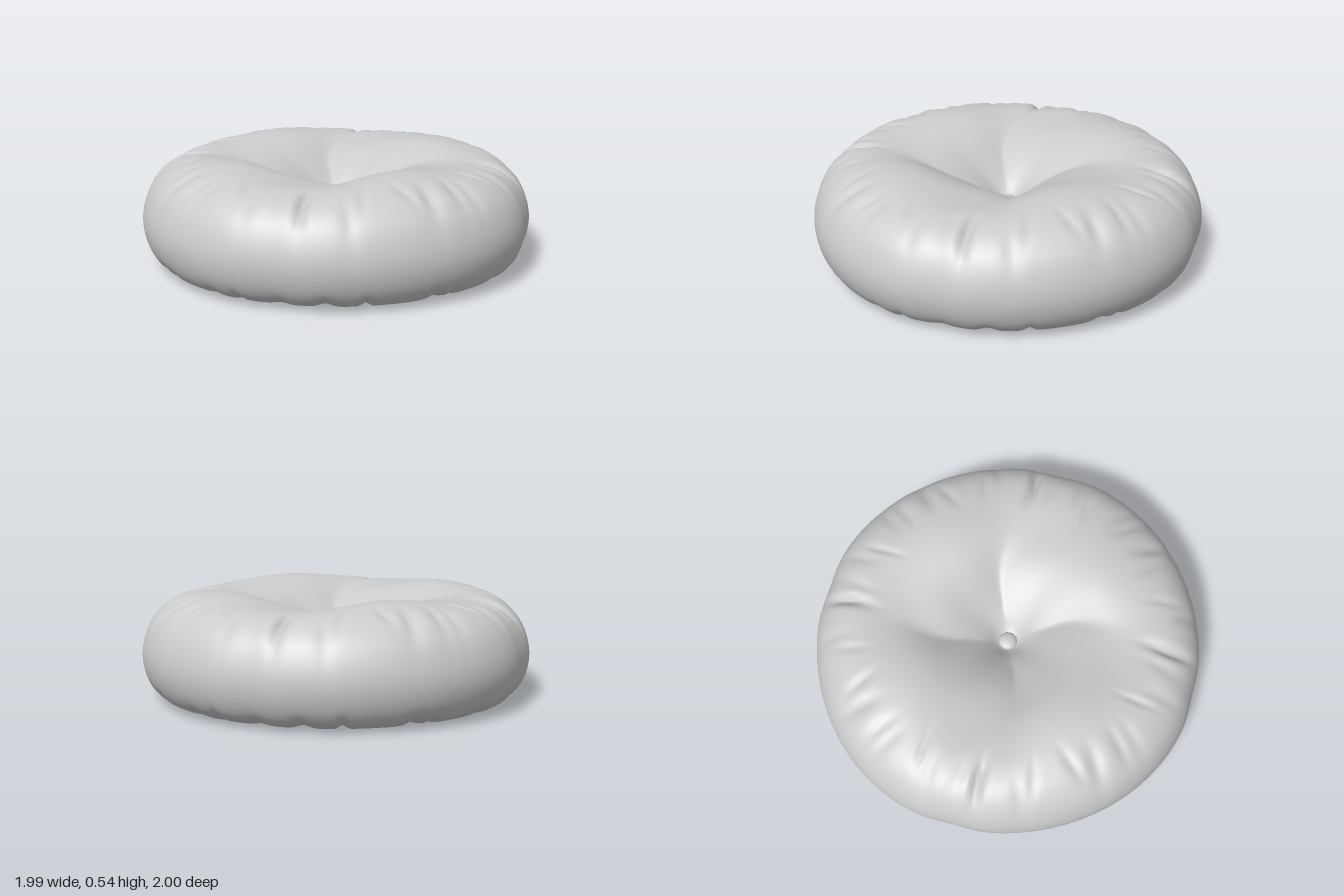
import * as THREE from 'three';
import { mergeVertices } from 'three/addons/utils/BufferGeometryUtils.js';

const QUARTER = Math.PI / 2;

// small seeded random
function seeded(seed) {
  return () => (seed = (seed * 16807) % 2147483647) / 2147483647;
}

// bell-shaped bump, 1 at the middle
const bell = (d, w) => Math.exp(-(d * d) / (w * w));

// angular distance in a pattern that repeats every quarter turn
function quarterGap(a, b) {
  const d = (a - b) / QUARTER;
  return (d - Math.round(d)) * QUARTER;
}

// cross-section from the open hem, over the rim, down to the tufted centre
const profile = [
  [0.77, 0.0], [0.86, 0.007], [0.93, 0.038], [0.977, 0.105], [1.0, 0.205], [0.986, 0.305],
  [0.935, 0.408], [0.852, 0.479], [0.745, 0.513], [0.61, 0.52], [0.47, 0.502], [0.34, 0.457],
  [0.22, 0.393], [0.12, 0.32], [0.06, 0.265], [0.03, 0.245],
];

// gathers spaced unevenly within a quarter turn
function makeFolds(count, seed, radius, spread) {
  const rnd = seeded(seed);
  return Array.from({ length: count }, (_, i) => ({
    angle: ((i + 0.7 * rnd()) / count) * QUARTER,
    width: 0.02 + 0.025 * rnd(),
    depth: 0.007 + 0.011 * rnd(),
    radius: radius + spread * (rnd() - 0.5),
    lean: 0.6 * (rnd() - 0.5),
  }));
}

function cushionGeometry() {
  const curve = new THREE.CatmullRomCurve3(profile.map(([r, y]) => new THREE.Vector3(r, y, 0)));
  const points = curve.getPoints(90).map((p) => new THREE.Vector2(p.x, p.y));
  let geo = new THREE.LatheGeometry(points, 320);
  geo.deleteAttribute('uv');
  geo.deleteAttribute('normal');
  geo = mergeVertices(geo, 1e-5);

  const topFolds = makeFolds(10, 77, 0.83, 0.14);
  topFolds.push({ angle: -0.33, width: 0.03, depth: 0.028, radius: 0.85, lean: 0 }); // deep tuck
  const hemFolds = makeFolds(7, 913, 0.82, 0);
  const pos = geo.attributes.position;
  for (let i = 0; i < pos.count; i++) {
    const x = pos.getX(i), z = pos.getZ(i), y0 = pos.getY(i);
    const a = Math.atan2(x, z), r0 = Math.hypot(x, z);
    let y = y0, r = r0;

    if (y0 > 0.22 && r0 < 0.97) {
      // four creases in the dimple, swirling slightly as they climb
      const swirl = -0.2 * THREE.MathUtils.smoothstep(r0, 0.25, 0.6);
      const crease = Math.pow(1 - Math.sqrt(Math.sin(2 * (a - swirl)) ** 2 + 0.01) / 1.005, 1.6);
      y += (0.01 - 0.045 * crease) * bell(r0 - 0.34, 0.2) * THREE.MathUtils.smoothstep(r0, 0.03, 0.2);
      // each quarter of the rim rises on one side and sinks on the other
      y += 0.02 * Math.cos(4 * (a - 0.38)) * bell(r0 - 0.58, 0.2);
    }
    // gathers round the upper shoulder
    if (y0 > 0.22 && r0 > 0.5) {
      for (const f of topFolds) {
        const d = quarterGap(a, f.angle + f.lean * (r0 - f.radius));
        const push = f.depth * bell(d, f.width) * bell(r0 - f.radius, 0.09);
        y -= push;
        r -= push * 0.5;
      }
    }
    // gathers round the hem
    if (y0 < 0.2) {
      for (const f of hemFolds) {
        const push = f.depth * bell(quarterGap(a, f.angle), f.width) * bell(y0, 0.06);
        y += push;
        r -= push;
      }
    }
    // outline slightly fuller on the diagonals, with a flattened spot in each quarter
    const side = THREE.MathUtils.smoothstep(r0, 0.7, 1);
    r += side * (0.013 * Math.sin(2 * a) ** 2 - 0.013 * bell(quarterGap(a, -0.45), 0.12));

    pos.setXYZ(i, Math.sin(a) * r * 0.993, Math.max(0, y), Math.cos(a) * r);
  }
  geo.computeVertexNormals();
  return geo;
}

export function createModel() {
  const group = new THREE.Group();
  group.name = 'cushion';

  // thin fabric shell, open underneath
  const cover = new THREE.Mesh(
    cushionGeometry(),
    new THREE.MeshStandardMaterial({ color: 0xcccccc, side: THREE.DoubleSide })
  );
  cover.name = 'cushionCover';
  group.add(cover);

  // tufting button at the bottom of the dimple
  const button = new THREE.Mesh(
    new THREE.SphereGeometry(0.052, 10, 8),
    new THREE.MeshStandardMaterial({ color: 0xcccccc })
  );
  button.name = 'centreButton';
  button.scale.y = 0.55;
  button.position.y = 0.25;
  group.add(button);

  return group;
}
